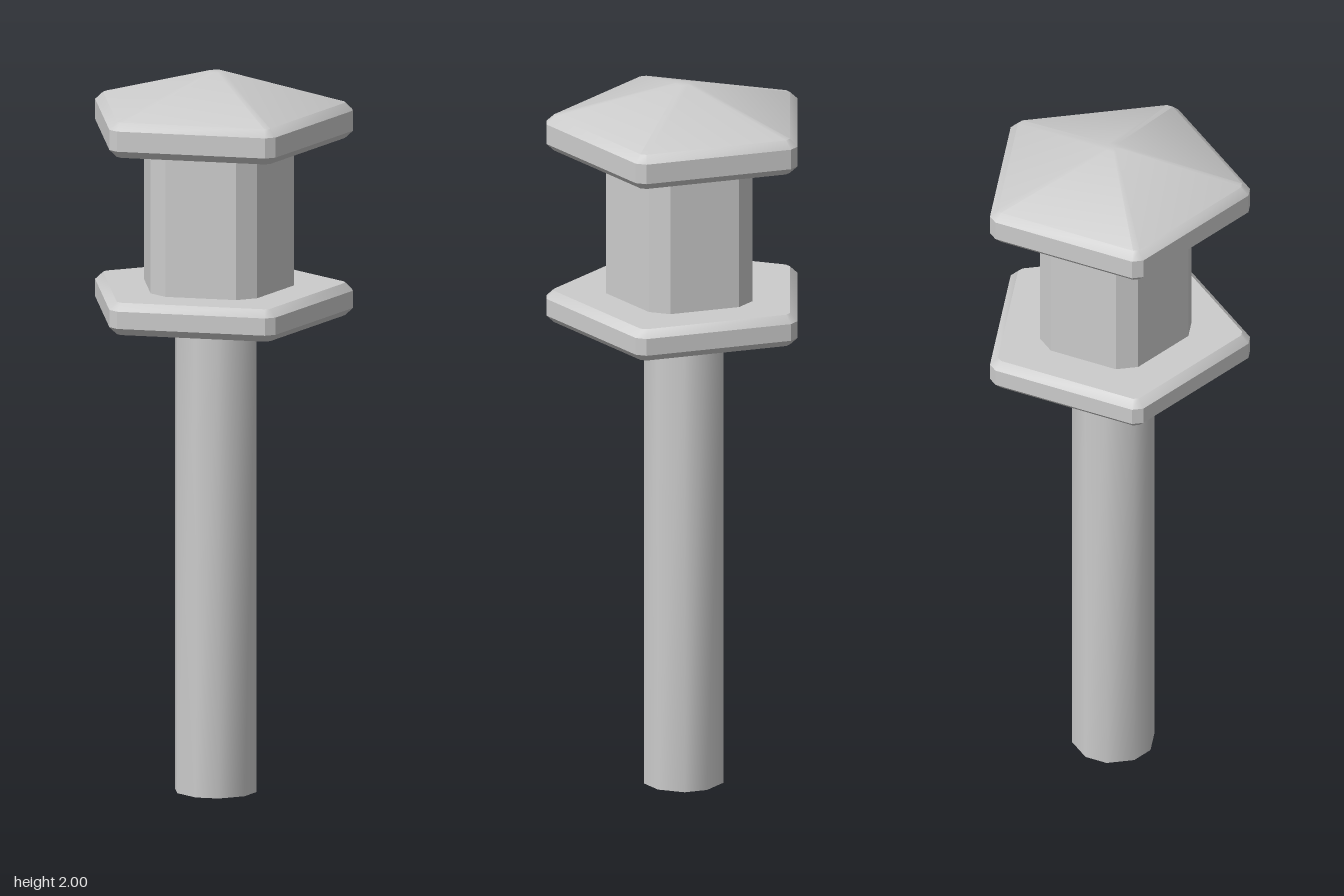
import * as THREE from 'three';
import { toCreasedNormals } from 'three/addons/utils/BufferGeometryUtils.js';

const AXIS_X = -0.032;

// Pentagon with cut corners: one corner points to +x
function pentagon(apothem, corner) {
  const half = (apothem / Math.cos(Math.PI / 5) - corner) * Math.tan(Math.PI * 0.3);
  const points = [];
  for (let i = 0; i < 5; i++) {
    const a = (i * Math.PI * 2) / 5;
    for (const s of [-half, half]) {
      points.push([corner * Math.cos(a) - s * Math.sin(a), corner * Math.sin(a) + s * Math.cos(a)]);
    }
  }
  return points;
}

// Closed solid through rings of [apothem, corner distance, y], bottom to top
function loft(name, rings, crease, material) {
  const positions = [];
  const index = [];
  for (const [apothem, corner, y] of rings) {
    for (const [x, z] of pentagon(apothem, corner)) positions.push(x, y, z);
  }
  const n = 10;
  const last = (rings.length - 1) * n;
  const bottom = rings.length * n;
  positions.push(0, rings[0][2], 0, 0, rings[rings.length - 1][2], 0);
  for (let j = 0; j < n; j++) {
    const k = (j + 1) % n;
    for (let r = 0; r < last; r += n) {
      index.push(r + j, r + n + j, r + k, r + k, r + n + j, r + n + k);
    }
    index.push(bottom, j, k, bottom + 1, last + k, last + j);
  }
  const geometry = new THREE.BufferGeometry();
  geometry.setAttribute('position', new THREE.Float32BufferAttribute(positions, 3));
  geometry.setIndex(index);
  const mesh = new THREE.Mesh(toCreasedNormals(geometry, crease), material);
  mesh.name = name;
  mesh.position.x = AXIS_X;
  return mesh;
}

export function createModel() {
  const group = new THREE.Group();
  group.name = 'lampPost';
  const material = new THREE.MeshStandardMaterial({ color: 0xcccccc });
  const A = 0.311, C = 0.373, B = 0.021; // plate apothem, corner distance, bevel

  // Bevelled rim shared by the plate and the roof
  const rim = (y, height) => [
    [A - B, C - B, y],
    [A, C, y + B],
    [A, C, y + height - B],
    [A - B, C - B, y + height],
  ];

  group.add(
    // Softly shaded pole
    loft('pole', [[0.109, 0.107, 0], [0.109, 0.107, 1.32]], 0.7, material),
    loft('basePlate', rim(1.316, 0.09), 0.5, material),
    // Faceted lantern body
    loft('lanternBody', [[0.188, 0.21, 1.4], [0.188, 0.21, 1.815]], 0.5, material),
    // Roof rising to a small blunt peak
    loft('roof', [...rim(1.809, 0.098), [0.02, 0.022, 2]], 0.5, material),
  );
  return group;
}
